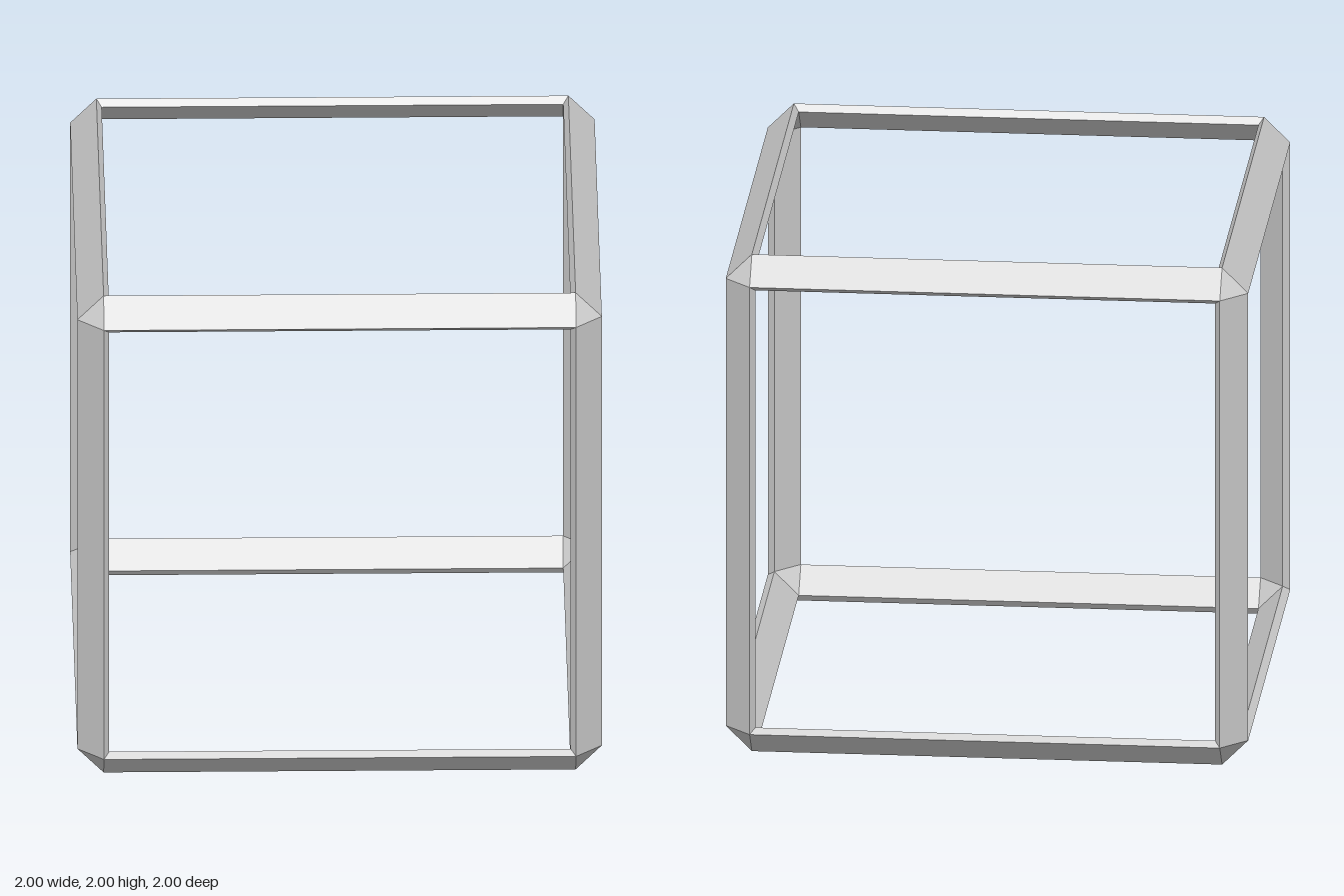
import * as THREE from 'three';

const OUT = 1, CUT = 0.9;          // outer chamfer corners
const IN = 0.973, IN_CUT = 0.88;   // matching inner corners

function flatGeometry(points, index) {
  const indexed = new THREE.BufferGeometry();
  indexed.setAttribute('position', new THREE.Float32BufferAttribute(points.flat(), 3));
  indexed.setIndex(index);
  const geometry = indexed.toNonIndexed();
  geometry.computeVertexNormals();
  return geometry;
}

// Chamfered plate along x with mitred ends; section points are [y, z, half length]
function beamGeometry() {
  const section = [[CUT, OUT, CUT], [OUT, CUT, CUT], [IN, IN_CUT, IN_CUT], [IN_CUT, IN, IN_CUT]];
  const points = [], index = [];
  section.forEach(([y, z, half], i) => {
    points.push([-half, y, z], [half, y, z]);
    const a = 2 * i, b = 2 * ((i + 1) % section.length);
    index.push(a, a + 1, b + 1, a, b + 1, b);
  });
  return flatGeometry(points, index);
}

// Triangular corner plate, outer and inner skins
function cornerGeometry() {
  const triangle = (far, near) => [[far, near, near], [near, far, near], [near, near, far]];
  return flatGeometry([...triangle(OUT, CUT), ...triangle(IN, IN_CUT)], [0, 1, 2, 3, 5, 4]);
}

export function createModel() {
  const model = new THREE.Group();
  model.name = 'cubeFrame';
  const material = new THREE.MeshStandardMaterial({ color: 0xcccccc, flatShading: true });
  const beam = beamGeometry(), corner = cornerGeometry();
  const diagonal = new THREE.Vector3(1, 1, 1).normalize();

  // Four beams round each axis; turning about the diagonal cycles the axes
  ['x', 'y', 'z'].forEach((axis, k) => {
    const group = new THREE.Group();
    group.name = `${axis}Beams`;
    group.quaternion.setFromAxisAngle(diagonal, k * Math.PI * 2 / 3);
    group.position.y = 1;
    for (let i = 0; i < 4; i++) {
      const mesh = new THREE.Mesh(beam, material);
      mesh.name = 'beam';
      mesh.rotation.x = i * Math.PI / 2;
      group.add(mesh);
    }
    model.add(group);
  });

  // Four corners on top, four below
  ['topCorners', 'bottomCorners'].forEach((name, k) => {
    const group = new THREE.Group();
    group.name = name;
    group.rotation.x = k * Math.PI;
    group.position.y = 1;
    for (let i = 0; i < 4; i++) {
      const mesh = new THREE.Mesh(corner, material);
      mesh.name = 'corner';
      mesh.rotation.y = i * Math.PI / 2;
      group.add(mesh);
    }
    model.add(group);
  });
  return model;
}
